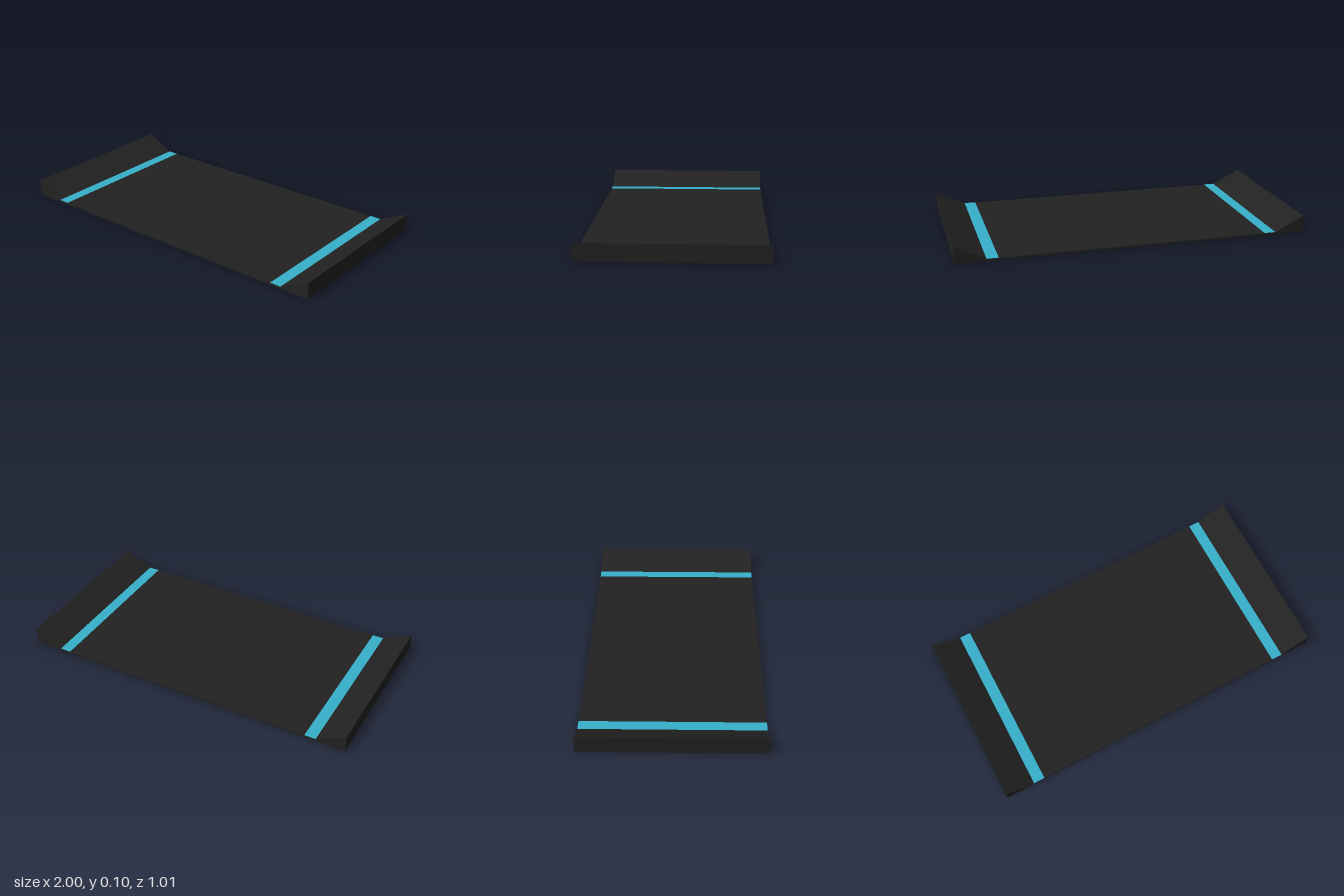
import * as THREE from 'three';

const DEPTH = 1.01;   // full size along z
const BASE_H = 0.012; // thickness of the flat mat
const RAMP_X = 0.83;  // where the end ramps begin
const RAMP_H = 0.097; // height of the outer edges

export function createModel() {
  const group = new THREE.Group();
  const rubber = new THREE.MeshStandardMaterial({ color: 0x222222 });
  rubber.name = 'darkRubber';
  const blue = new THREE.MeshStandardMaterial({ color: 0x36b0c9 });
  blue.name = 'blueStripe';

  const add = (name, geometry, material, x, y, z) => {
    const mesh = new THREE.Mesh(geometry, material);
    mesh.name = name;
    mesh.position.set(x, y, z);
    group.add(mesh);
    return mesh;
  };

  // Flat central mat
  add('mat', new THREE.BoxGeometry(RAMP_X * 2, BASE_H, DEPTH), rubber, 0, BASE_H / 2, 0);

  // Wedge profile, rising towards the outer edge
  const profile = new THREE.Shape([
    new THREE.Vector2(RAMP_X, 0),
    new THREE.Vector2(1, 0),
    new THREE.Vector2(1, RAMP_H),
    new THREE.Vector2(RAMP_X, BASE_H),
  ]);
  const wedge = new THREE.ExtrudeGeometry(profile, { depth: DEPTH, bevelEnabled: false });
  wedge.translate(0, 0, -DEPTH / 2);

  for (const [side, s] of [['left', 1], ['right', -1]]) {
    // End ramp, turned half round for the right side
    add(side + 'Ramp', wedge, rubber, 0, 0, 0).rotation.y = s > 0 ? 0 : Math.PI;

    // Painted stripe at the foot of the ramp
    const stripe = new THREE.PlaneGeometry(0.066, DEPTH).rotateX(-Math.PI / 2);
    add(side + 'Stripe', stripe, blue, s * 0.797, BASE_H + 0.001, 0);
  }
  return group;
}
